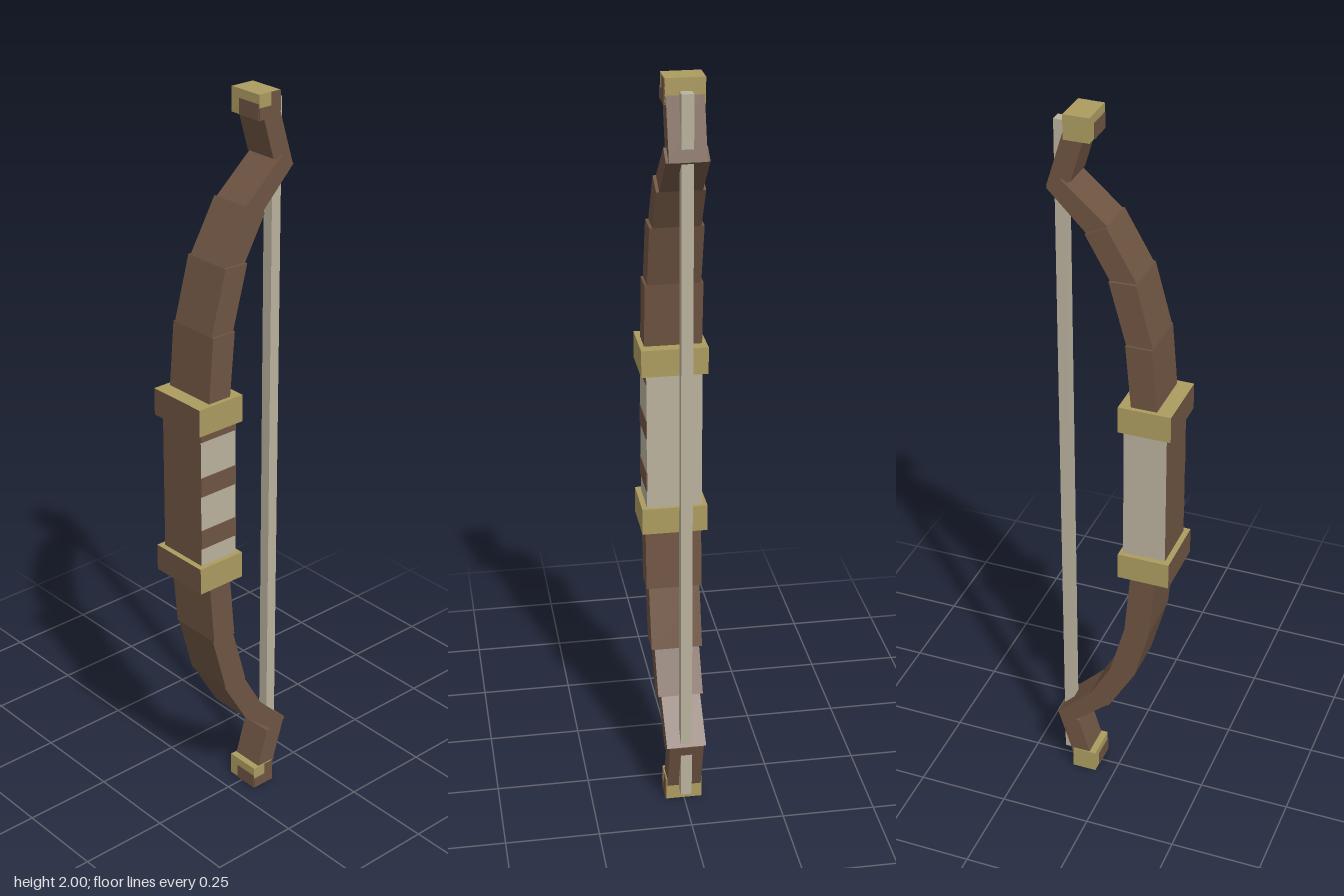
import * as THREE from 'three';

export function createModel() {
  const group = new THREE.Group();
  group.name = 'bow';
  const mat = (name, color) => {
    const m = new THREE.MeshStandardMaterial({ color });
    m.name = name;
    return m;
  };
  const wood = mat('brown wood', 0x6e5442);
  const gold = mat('dull gold', 0xac9c60);
  const cloth = mat('pale wrap', 0xbab29e);

  // Box given by its minimum and maximum corners
  function box(name, a, b, material) {
    const g = new THREE.BoxGeometry(b[0] - a[0], b[1] - a[1], b[2] - a[2]);
    const mesh = new THREE.Mesh(g, material);
    mesh.position.set((a[0] + b[0]) / 2, (a[1] + b[1]) / 2, (a[2] + b[2]) / 2);
    mesh.name = name;
    group.add(mesh);
  }

  // Four-sided slab across the bow; lower limbs mirror about y = 1
  function slab(name, points, halfWidth, lower) {
    const shape = new THREE.Shape(points.map(([x, y]) => new THREE.Vector2(x, lower ? 2 - y : y)));
    const g = new THREE.ExtrudeGeometry(shape, { depth: halfWidth * 2, bevelEnabled: false });
    g.translate(0, 0, -halfWidth);
    const mesh = new THREE.Mesh(g, wood);
    mesh.name = name;
    group.add(mesh);
  }

  // Grip, with a bare wooden outer side and stripes on the front
  box('grip', [-0.155, 0.8, -0.073], [-0.04, 1.2, 0.073], [cloth, wood, cloth, cloth, cloth, cloth]);
  for (const [y0, y1] of [[0.862, 0.915], [1.012, 1.065], [1.165, 1.19]]) {
    box('gripStripe', [-0.155, y0, 0.072], [-0.04, y1, 0.075], wood);
  }

  // Limb joints, from the grip out to the bend
  const outer = [[-0.135, 1.19], [-0.115, 1.434], [-0.07, 1.6], [0.008, 1.735], [0.125, 1.837]];
  const inner = [[-0.067, 1.19], [-0.045, 1.434], [0, 1.598], [0.063, 1.709], [0.163, 1.81]];
  const widths = [0.075, 0.069, 0.061, 0.053];

  for (const lower of [false, true]) {
    const side = lower ? 'lower' : 'upper';
    widths.forEach((w, i) =>
      slab(side + 'Limb' + (i + 1), [outer[i], inner[i], inner[i + 1], outer[i + 1]], w, lower));
    // Tip bent back from the limb
    slab(side + 'Tip', [[0.103, 1.832], [0.166, 1.81], [0.115, 1.975], [0.066, 1.955]], 0.046, lower);

    // Gold collar at the end of the grip
    const c = lower ? 0.74 : 1.19;
    box(side + 'Collar', [-0.17, c, -0.087], [-0.03, c + 0.073, 0.087], [gold, wood, gold, wood, gold, gold]);

    // Gold cap with wooden patches on its front and outer side
    const t = lower ? 0 : 1.937;
    box(side + 'Cap', [0.053, t, -0.049], [0.12, t + 0.063, 0.049], gold);
    box(side + 'CapPatch', [0.053, t, 0.048], [0.12, t + 0.03, 0.051], wood);
    box(side + 'CapPatchEdge', [0.092, t + 0.03, 0.048], [0.12, t + 0.063, 0.051], wood);
    box(side + 'CapSidePatch', [0.051, t, -0.02], [0.054, t + 0.04, 0.049], wood);
  }

  // Bowstring
  box('string', [0.128, 0.035, -0.015], [0.157, 1.97, 0.015], cloth);

  return group;
}
